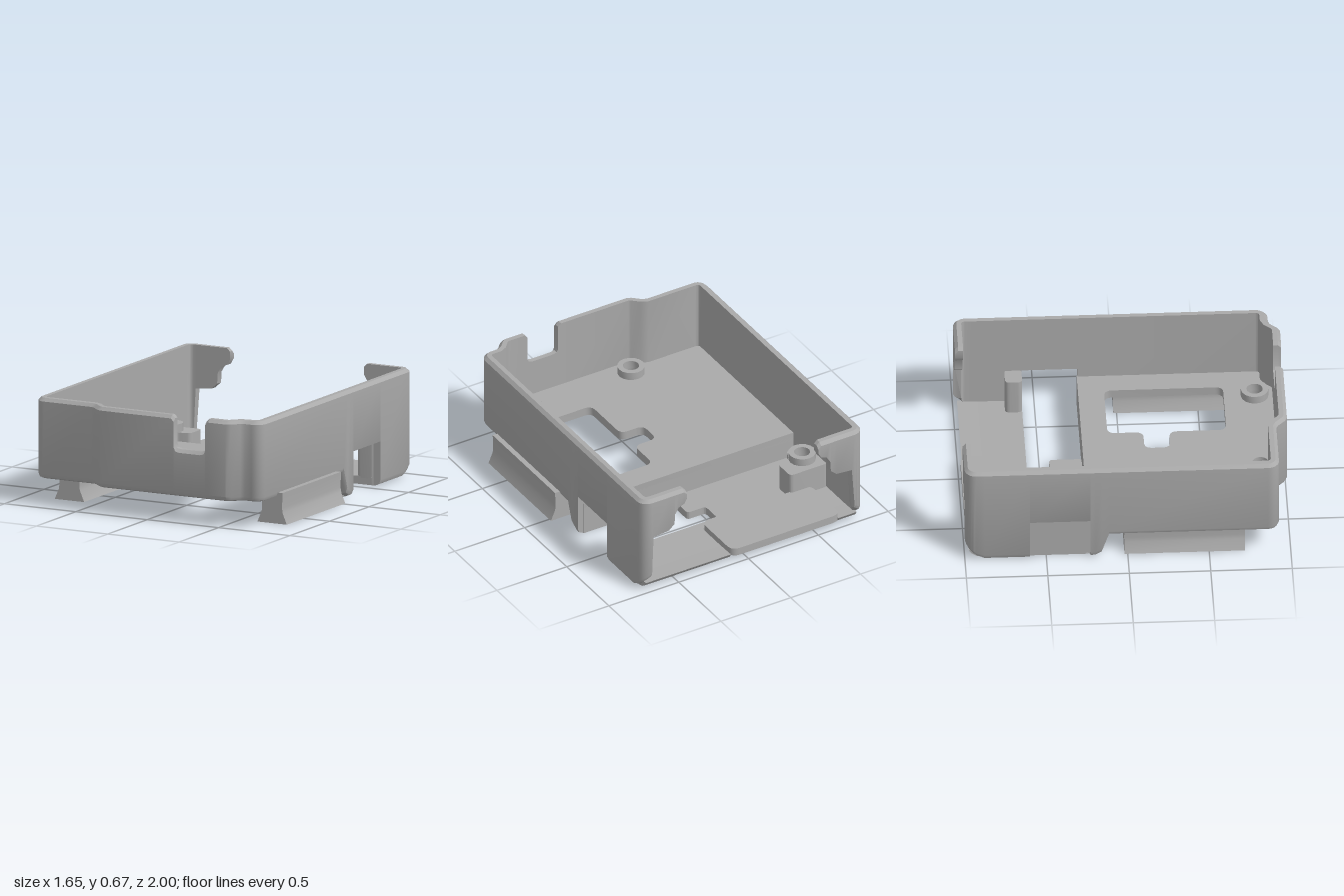
import * as THREE from 'three';
import { toCreasedNormals } from 'three/addons/utils/BufferGeometryUtils.js';

const TOP = 0.67, LOW = 0.165, THICK = 0.05;

// Closed outline with softened corners; plan points are [x, z] (z is flipped for the extrusion).
function outline(points, r, Type = THREE.Shape, flip = -1) {
  const v = points.map(([x, z]) => new THREE.Vector2(x, z * flip));
  const s = new Type();
  v.forEach((p, i) => {
    const a = v[(i + v.length - 1) % v.length], b = v[(i + 1) % v.length];
    const toward = q => p.clone().lerp(q, Math.min(0.5, r / p.distanceTo(q)));
    const p0 = toward(a), p1 = toward(b);
    if (i === 0) s.moveTo(p0.x, p0.y); else s.lineTo(p0.x, p0.y);
    s.quadraticCurveTo(p.x, p.y, p1.x, p1.y);
  });
  s.closePath();
  return s;
}

function circle(x, z, r) {
  const p = new THREE.Path();
  p.absarc(x, -z, r, 0, Math.PI * 2, true);
  return p;
}

// Horizontal plate cut from a plan outline.
function plateGeometry(shape, y, height) {
  const g = new THREE.ExtrudeGeometry(shape, { depth: height, bevelEnabled: false, curveSegments: 8 });
  return toCreasedNormals(g.rotateX(-Math.PI / 2).translate(0, y, 0), 0.6);
}

// Bar with a [z, y] section running along x.
function barX(profile, x0, x1) {
  const s = new THREE.Shape(profile.map(([z, y]) => new THREE.Vector2(-z, y)));
  const g = new THREE.ExtrudeGeometry(s, { depth: x1 - x0, bevelEnabled: false });
  return toCreasedNormals(g.rotateY(Math.PI / 2).translate(x0, 0, 0), 0.6);
}

// Wall swept along stations [x, z, bottom, top, bottomRound].
function wallGeometry(stations) {
  const same = (a, b) => Math.hypot(a[0] - b[0], a[1] - b[1]) < 1e-5;
  const rings = stations.map((s, i) => {
    let a = i, b = i;
    while (a > 0 && same(stations[a], s)) a--;
    while (b < stations.length - 1 && same(stations[b], s)) b++;
    const dir = (p, q) => new THREE.Vector2(q[0] - p[0], q[1] - p[1]).normalize();
    let t0 = dir(stations[a], s), t1 = dir(s, stations[b]);
    if (t0.length() < 0.5) t0 = t1;
    if (t1.length() < 0.5) t1 = t0;
    const t = t0.clone().add(t1).normalize();
    const k = 1 / Math.max(0.6, t.dot(t0));
    const [x, z, lo, hi, r] = s;
    return [[r, lo], [r * 0.3, lo + r * 0.3], [0, lo + r], [0, hi - 0.02], [0.02, hi], [THICK, hi], [THICK, lo]]
      .map(([d, y]) => new THREE.Vector3(x + t.y * d * k, y, z - t.x * d * k));
  });
  const pos = [];
  const tri = (a, b, c) => {
    const area = b.clone().sub(a).cross(c.clone().sub(a)).length();
    if (area > 1e-9) for (const p of [a, b, c]) pos.push(p.x, p.y, p.z);
  };
  for (let i = 0; i < rings.length - 1; i++) {
    const A = rings[i], B = rings[i + 1];
    for (let k = 0; k < A.length; k++) {
      const n = (k + 1) % A.length;
      tri(A[k], B[k], B[n]);
      tri(A[k], B[n], A[n]);
    }
  }
  const first = rings[0], last = rings[rings.length - 1];
  for (let k = 1; k < first.length - 1; k++) {
    tri(first[0], first[k], first[k + 1]);
    tri(last[0], last[k + 1], last[k]);
  }
  const g = new THREE.BufferGeometry();
  g.setAttribute('position', new THREE.Float32BufferAttribute(pos, 3));
  return toCreasedNormals(g, 0.6);
}

// Stations around a rounded corner; angles in the x/z plane.
function corner(cx, cz, a0, a1, bottom, round) {
  return Array.from({ length: 7 }, (_, i) => {
    const a = (a0 + (a1 - a0) * i / 6) * Math.PI / 180;
    return [cx + 0.07 * Math.cos(a), cz + 0.07 * Math.sin(a), bottom(i / 6), TOP, round];
  });
}

export function createModel() {
  const group = new THREE.Group();
  const grey = new THREE.MeshStandardMaterial({ color: 0xaaaaaa });
  grey.name = 'grey plastic';
  grey.side = THREE.DoubleSide;
  const add = (name, geometry) => {
    const m = new THREE.Mesh(geometry, grey);
    m.name = name;
    group.add(m);
    return m;
  };

  // Wall: right back tab, right side, stepped front, left side, left back tab
  const backTab = (x, d) => [
    [x, -1, 0.60, 0.65, 0.002], [x + 0.02 * d, -1, 0.565, TOP, 0.002], [x + 0.06 * d, -1, 0.55, TOP, 0.002],
    [x + 0.085 * d, -1, 0.51, TOP, 0.002], [x + 0.09 * d, -1, 0.44, TOP, 0.002],
    [x + 0.13 * d, -1, 0.405, TOP, 0.002], [x + 0.24 * d, -1, 0.395, TOP, 0.002],
  ];
  const side = (x, z0, z1) => [
    [x, -0.88, 0, TOP, 0.04], [x, z0, 0, TOP, 0.04], [x, z0, 0.28, TOP, 0.002],
    [x, z1, 0.28, TOP, 0.002], [x, z1, 0, TOP, 0.04], [x, -0.2, 0, TOP, 0.04],
    [x, -0.16, 0.025, TOP, 0.04], [x, -0.115, LOW, TOP, 0.03],
  ];
  const low = () => LOW;
  const at = (x, z, top = TOP) => [x, z, LOW, top, 0.03];
  const lift = u => 0.1 - 0.07 * u;
  wallStations();
  function wallStations() {
    const stations = [
      ...backTab(-0.5, -1),
      ...corner(-0.76, -0.93, 270, 180, lift, 0.03),
      ...side(-0.83, -0.6, -0.23),
      ...corner(-0.76, 0.86, 180, 90, low, 0.03),
      at(-0.43, 0.93), at(-0.405, 0.942), at(-0.36, 0.985), at(-0.33, 1),
      at(0.165, 1), at(0.185, 1, 0.65), at(0.185, 1, 0.49), at(0.195, 1, 0.467), at(0.22, 1, 0.46),
      at(0.37, 1, 0.46), at(0.395, 1, 0.467), at(0.405, 1, 0.49), at(0.405, 1, 0.65), at(0.425, 1),
      at(0.55, 1), at(0.58, 0.985), at(0.62, 0.942), at(0.645, 0.93),
      ...corner(0.69, 0.86, 90, 0, low, 0.03),
      ...side(0.76, -0.58, -0.235).reverse(),
      ...corner(0.69, -0.93, 0, -90, u => lift(1 - u), 0.03),
      ...backTab(0.44, 1).reverse(),
    ];
    add('outerWall', wallGeometry(stations));
  }

  // Raised front floor with screw holes and the large opening
  const bosses = [[-0.27, 0.84], [0.47, 0.84], [-0.68, -0.51]];
  const front = outline([[-0.79, -0.24], [-0.79, 0.89], [-0.41, 0.89], [-0.33, 0.965], [0.55, 0.965],
    [0.63, 0.89], [0.72, 0.89], [0.72, -0.24]], 0.005);
  front.holes.push(outline([[0.13, -0.08], [0.56, -0.08], [0.56, 0.65], [0.13, 0.65], [0.13, 0.30],
    [-0.03, 0.30], [-0.03, 0.14], [0.13, 0.14]], 0.05, THREE.Path));
  bosses.slice(0, 2).forEach(([x, z]) => front.holes.push(circle(x, z, 0.05)));
  add('frontFloor', plateGeometry(front, LOW, 0.055));

  // Sloped riser between the two floor levels
  add('floorRiser', barX([[-0.24, 0], [-0.2, 0], [-0.175, 0.01], [-0.155, 0.035], [-0.115, LOW],
    [-0.115, 0.215], [-0.24, 0.215]], -0.79, 0.72));

  // Low rear floor, notched for the side opening and the card pocket
  const rear = outline([[-0.79, -0.88], [-0.66, -0.88], [-0.66, -0.63], [0.11, -0.63], [0.11, -0.88],
    [0.72, -0.88], [0.72, -0.58], [-0.03, -0.58], [-0.03, -0.44], [0.10, -0.44], [0.10, -0.235],
    [-0.79, -0.235]], 0.025);
  rear.holes.push(circle(-0.68, -0.51, 0.05));
  add('rearFloor', plateGeometry(rear, 0, 0.05));
  const lip = [[-0.85, 0], [-0.89, 0], [-0.93, 0.01], [-0.96, 0.03], [-0.975, 0.055], [-0.85, 0.05]];
  add('rearLipRight', barX(lip, -0.79, -0.66));
  add('rearLipLeft', barX(lip, 0.11, 0.72));

  // Card pocket pressed up out of the rear floor
  add('cardPocket', plateGeometry(outline([[-0.67, -0.985], [0.11, -0.985], [0.11, -0.62], [-0.67, -0.62]], 0.06), 0.04, 0.05));
  for (const x of [-0.38, -0.22]) {
    const ridge = add('pocketRidge', new THREE.BoxGeometry(0.13, 0.02, 0.03));
    ridge.position.set(x, 0.035, -0.82);
    ridge.rotation.y = 0.7;
  }

  // Support block under the rear screw boss, thin panel behind the side recess, corner block
  const block = outline([[-0.79, -0.635], [-0.52, -0.635], [-0.52, -0.49], [-0.61, -0.47], [-0.64, -0.39], [-0.79, -0.39]], 0.03);
  block.holes.push(circle(-0.68, -0.51, 0.05));
  add('bossBlock', plateGeometry(block, 0.045, 0.175));
  add('recessPanel', new THREE.BoxGeometry(0.02, 0.27, 0.4)).position.set(-0.79, 0.155, -0.415);
  add('cornerBlock', plateGeometry(outline([[0.72, -0.685], [0.59, -0.685], [0.59, -0.58], [0.72, -0.58]], 0.03), 0.04, 0.24));

  // Screw bosses
  for (const [x, z] of bosses) {
    const ring = new THREE.Shape();
    ring.absarc(x, -z, 0.085, 0, Math.PI * 2);
    ring.holes.push(circle(x, z, 0.05));
    add('screwBoss', plateGeometry(ring, 0.215, 0.055));
  }

  // Flared mounting rails
  for (const [name, x, top] of [['railLeft', 0.72, 0.195], ['railRight', -0.70, 0.175]]) {
    const s = new THREE.Shape([[-0.103, 0], [0.103, 0], [0.073, 0.07], [0.07, 0.1], [0.073, top],
      [-0.073, top], [-0.07, 0.1], [-0.073, 0.07]].map(([u, y]) => new THREE.Vector2(x + u, y)));
    const g = new THREE.ExtrudeGeometry(s, { depth: 0.74, bevelEnabled: false });
    add(name, toCreasedNormals(g.translate(0, 0, -0.02), 0.5));
  }
  return group;
}
